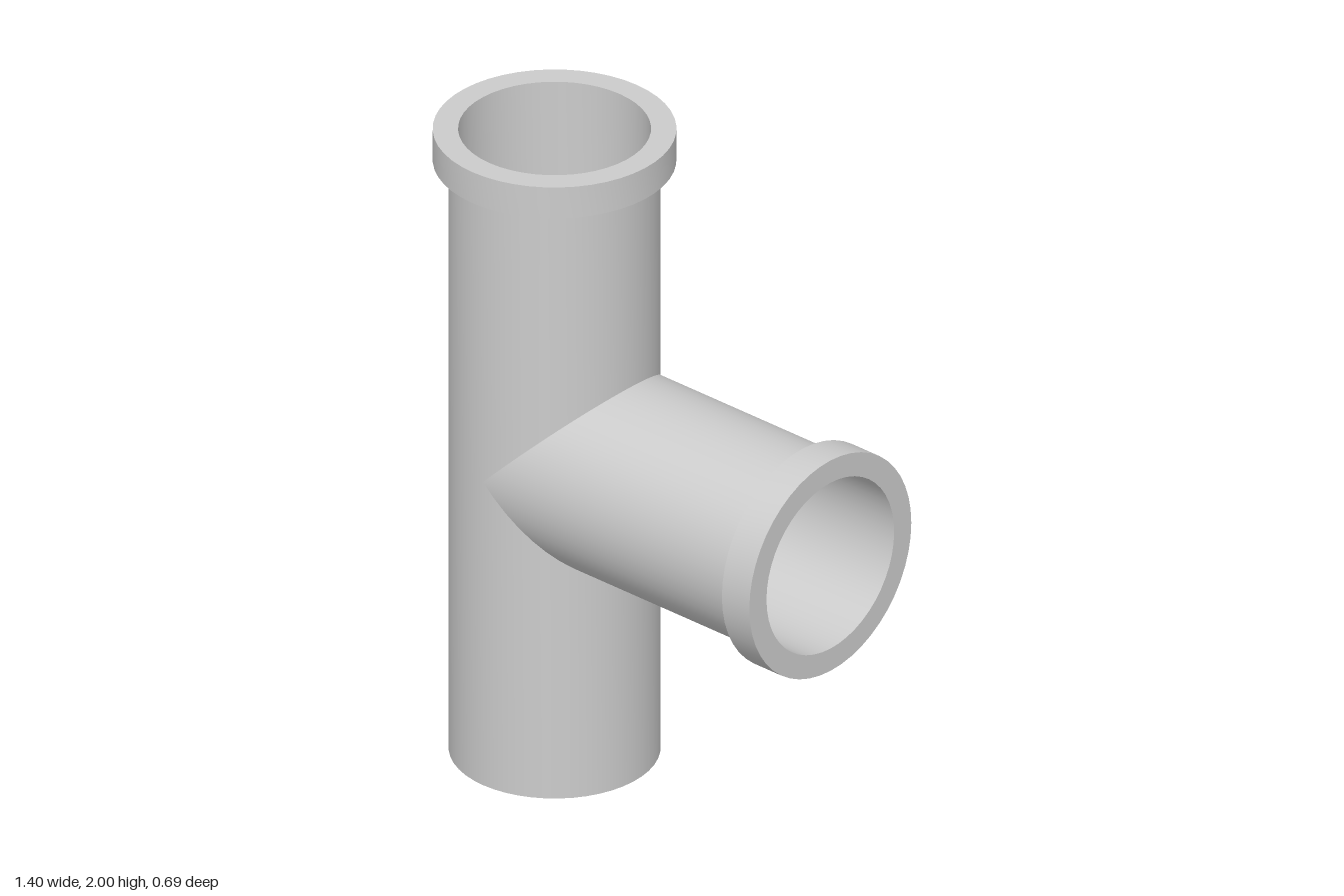
import * as THREE from 'three';
import { toCreasedNormals } from 'three/addons/utils/BufferGeometryUtils.js';

const material = new THREE.MeshStandardMaterial({ color: 0xcccccc, side: THREE.DoubleSide });

// Pipe along +y: open at the start, collar and bore at the far end
function pipe(name, length, radius, collarRadius, collarHeight, boreRadius, boreDepth) {
  const profile = [
    [radius, 0],
    [radius, length - collarHeight],
    [collarRadius, length - collarHeight],
    [collarRadius, length],
    [boreRadius, length],
    [boreRadius, length - boreDepth],
    [0, length - boreDepth],
  ].map(([r, y]) => new THREE.Vector2(r, y));
  const geometry = toCreasedNormals(new THREE.LatheGeometry(profile, 48), Math.PI / 6);
  const mesh = new THREE.Mesh(geometry, material);
  mesh.name = name;
  return mesh;
}

export function createModel() {
  const group = new THREE.Group();
  group.name = 'pipeTee';
  const axisX = -0.355;

  // Upright main pipe
  const mainPipe = pipe('mainPipe', 2, 0.3, 0.345, 0.1, 0.273, 0.7);
  mainPipe.position.x = axisX;

  // Side branch, starting on the axis of the main pipe
  const branchPipe = pipe('branchPipe', 0.7 - axisX, 0.3, 0.34, 0.105, 0.268, 0.7);
  branchPipe.rotation.z = -Math.PI / 2;
  branchPipe.position.set(axisX, 0.98, 0);

  group.add(mainPipe, branchPipe);
  return group;
}
